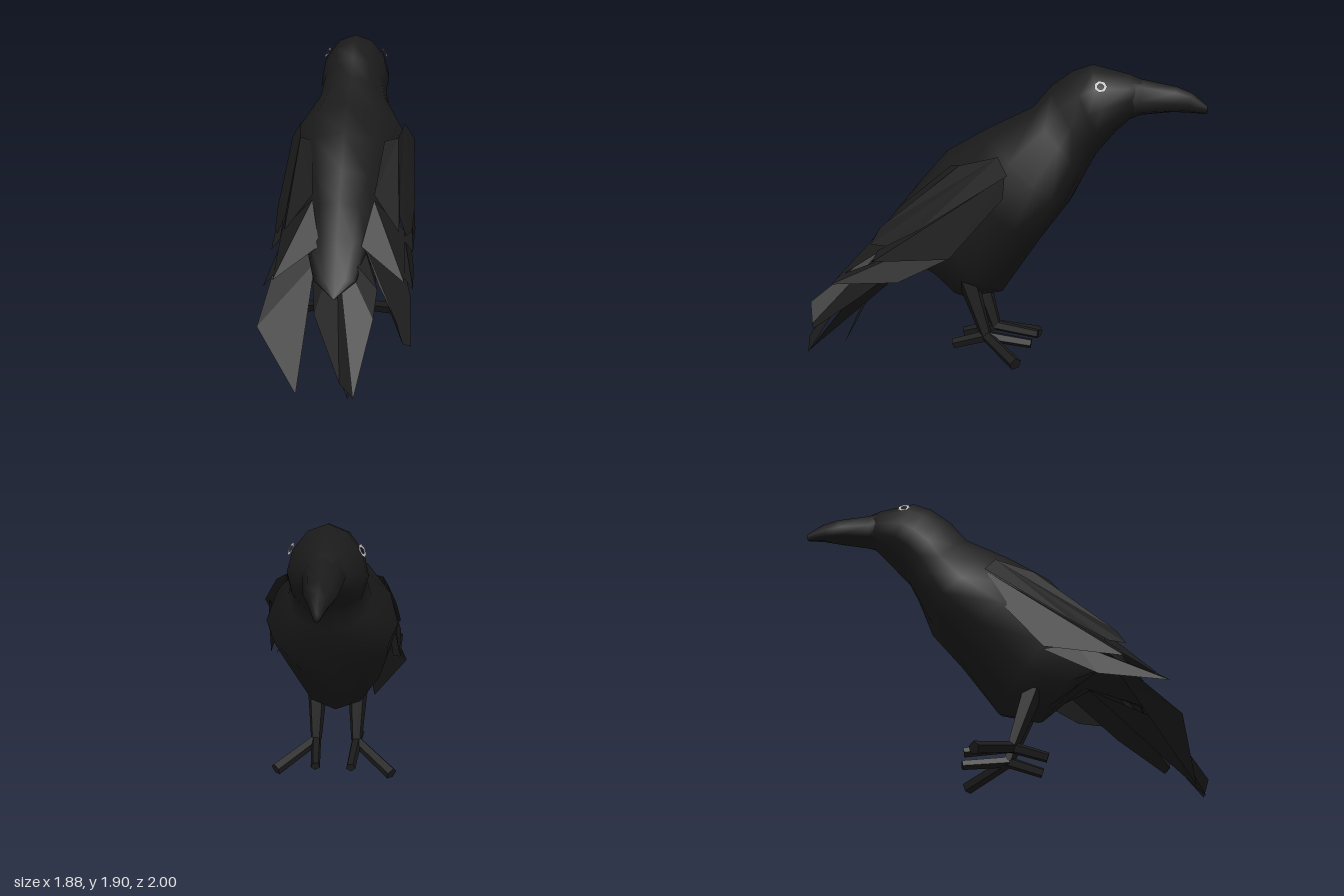
import * as THREE from 'three';

const black = new THREE.MeshStandardMaterial({ color: 0x1b1b1b });
black.name = 'black plumage';
const plume = new THREE.MeshStandardMaterial({ color: 0x1b1b1b, side: THREE.DoubleSide });
plume.name = 'feather black';
const grey = new THREE.MeshStandardMaterial({ color: 0xbcbcbc, side: THREE.DoubleSide });
grey.name = 'eye ring grey';

function mesh(geometry, material, name, parent) {
  const m = new THREE.Mesh(geometry, material);
  m.name = name;
  parent.add(m);
  return m;
}

// Sections: [top z, top y, bottom z, bottom y, half width, drop of the widest point]
function loft(sections, sides) {
  const pos = [], index = [];
  sections.forEach(([tz, ty, bz, by, w, drop], i) => {
    for (let k = 0; k < sides; k++) {
      const a = (k / sides) * Math.PI * 2;
      const t = (1 - Math.cos(a)) / 2 + drop * Math.sin(a) ** 2;
      pos.push(w * Math.sin(a), ty + (by - ty) * t, tz + (bz - tz) * t);
      if (i === sections.length - 1) continue;
      const p = i * sides + k, q = i * sides + (k + 1) % sides;
      index.push(p, q, p + sides, q, q + sides, p + sides);
    }
  });
  const g = new THREE.BufferGeometry();
  g.setAttribute('position', new THREE.Float32BufferAttribute(pos, 3));
  g.setIndex(index);
  g.computeVertexNormals();
  return g;
}

// Thin feather from an outline of [x, y, z] corners
function feather(points, flip = 1) {
  const pos = [];
  for (let i = 1; i < points.length - 1; i++) {
    const tri = flip > 0 ? [0, i, i + 1] : [0, i + 1, i];
    for (const j of tri) pos.push(points[j][0] * flip, points[j][1], points[j][2]);
  }
  const g = new THREE.BufferGeometry();
  g.setAttribute('position', new THREE.Float32BufferAttribute(pos, 3));
  g.computeVertexNormals();
  return g;
}

// Tapered limb between two points
function limb(from, to, r1, r2, name, parent) {
  const a = new THREE.Vector3(...from), b = new THREE.Vector3(...to);
  const d = b.clone().sub(a);
  const g = new THREE.CylinderGeometry(r2, r1, d.length(), 5).toNonIndexed();
  g.computeVertexNormals();
  const m = mesh(g, black, name, parent);
  m.position.copy(a).addScaledVector(d, 0.5);
  m.quaternion.setFromUnitVectors(new THREE.Vector3(0, 1, 0), d.normalize());
}

export function createModel() {
  const model = new THREE.Group();
  model.name = 'bird';
  const bird = new THREE.Group();
  bird.name = 'turnedBird';
  bird.rotation.y = 2.381;
  model.add(bird);

  // Head and body in one run from the forehead to the tail root
  mesh(loft([
    [0.98, 1.81, 0.96, 1.62, 0.09, 0.1],
    [0.90, 1.845, 0.92, 1.59, 0.135, 0.1],
    [0.68, 1.90, 0.82, 1.50, 0.215, 0.12],
    [0.56, 1.86, 0.77, 1.44, 0.225, 0.1],
    [0.43, 1.77, 0.71, 1.37, 0.21, 0.08],
    [0.32, 1.64, 0.65, 1.26, 0.24, 0.1],
    [0.03, 1.50, 0.55, 1.07, 0.385, 0.2],
    [-0.22, 1.36, 0.37, 0.83, 0.37, 0.1],
    [-0.39, 1.17, 0.13, 0.48, 0.31, 0],
    [-0.54, 0.99, -0.11, 0.43, 0.23, -0.1],
    [-0.69, 0.80, -0.38, 0.70, 0.19, -0.1],
    [-0.82, 0.61, -0.78, 0.58, 0.12, 0],
    [-0.88, 0.51, -0.88, 0.51, 0, 0],
  ], 12), black, 'body', bird);

  // Beak
  mesh(loft([
    [1.36, 1.63, 1.36, 1.63, 0.0, 0],
    [1.36, 1.665, 1.355, 1.617, 0.02, 0],
    [1.27, 1.74, 1.24, 1.625, 0.055, 0.1],
    [1.18, 1.775, 1.15, 1.625, 0.088, 0.15],
    [0.98, 1.815, 0.97, 1.605, 0.11, 0.1],
    [0.86, 1.845, 0.88, 1.57, 0.13, 0],
  ], 8), black, 'beak', bird);

  // Wing feathers as [side, y, z] outlines: lower, middle, upper, then the inner coverts
  const wing = [
    [[0.34, 0.82, -0.30], [0.37, 0.62, -0.80], [0.42, 0.57, -0.84], [0.41, 0.60, -0.42], [0.37, 0.76, -0.10]],
    [[0.37, 1.26, 0.23], [0.35, 0.90, -0.32], [0.36, 0.78, -0.56], [0.41, 0.72, -0.58], [0.41, 0.76, -0.10], [0.375, 1.13, 0.22]],
    [[0.33, 1.37, 0.18], [0.30, 1.31, -0.06], [0.33, 0.92, -0.55], [0.37, 0.82, -0.60], [0.40, 0.82, -0.49], [0.41, 0.93, -0.28], [0.39, 1.27, 0.25]],
    [[0.30, 1.31, -0.06], [0.22, 1.30, -0.13], [0.18, 1.03, -0.47], [0.33, 0.84, -0.60], [0.33, 0.92, -0.55]],
    [[0.18, 1.00, -0.48], [0.12, 0.77, -0.68], [0.37, 0.60, -0.82], [0.36, 0.82, -0.48]],
  ];
  for (const side of [1, -1]) {
    const tag = side > 0 ? 'left' : 'right';
    wing.forEach((f, i) => {
      mesh(feather(f, side), plume, `${tag}WingFeather${i + 1}`, bird).position.x = -0.02;
    });

    // Leg and three toes
    const foot = [0.13 * side, 0.22, 0.06];
    limb([0.13 * side, 0.58, -0.06], foot, 0.07, 0.036, `${tag}Leg`, bird);
    limb(foot, [0.365 * side, 0.125, 0.295], 0.036, 0.04, `${tag}OuterToe`, bird);
    limb(foot, [0.11 * side, 0.185, 0.34], 0.034, 0.03, `${tag}FrontToe`, bird);
    limb(foot, [0.14 * side, 0.16, -0.15], 0.036, 0.032, `${tag}BackToe`, bird);

    // Eye ring
    const eye = mesh(new THREE.RingGeometry(0.019, 0.039, 7), grey, `${tag}EyeRing`, bird);
    eye.position.set(0.192 * side, 1.78, 0.755);
    eye.rotation.set(0, side * 1.33, 0);
    eye.rotateX(-0.5);
  }

  // Tail fan
  const tail = {
    leftTailFeather: [[0.13, 0.66, -0.63], [0.05, 0.72, -0.42], [0.30, 0.90, -0.36], [0.43, 0.35, -0.895], [0.20, 0.0, -1.007]],
    middleTailFeather: [[0, 0.79, -0.67], [0.15, 0.70, -0.63], [0.11, 0.42, -0.87], [-0.056, 0.12, -1.148], [-0.13, 0.03, -1.13], [-0.22, 0.40, -0.87], [-0.24, 0.56, -0.82], [-0.15, 0.76, -0.60]],
    middleTailUnderside: [[0, 0.66, -0.42], [0.11, 0.42, -0.86], [-0.10, 0.03, -1.14], [-0.21, 0.38, -0.84]],
    rightTailFeather: [[-0.10, 0.86, -0.50], [-0.25, 0.58, -0.83], [-0.357, 0.43, -1.01], [-0.39, 0.30, -0.99], [-0.436, 0.28, -0.967], [-0.42, 0.49, -0.67], [-0.33, 0.74, -0.35]],
  };
  for (const name in tail) mesh(feather(tail[name]), plume, name, bird);

  return model;
}
